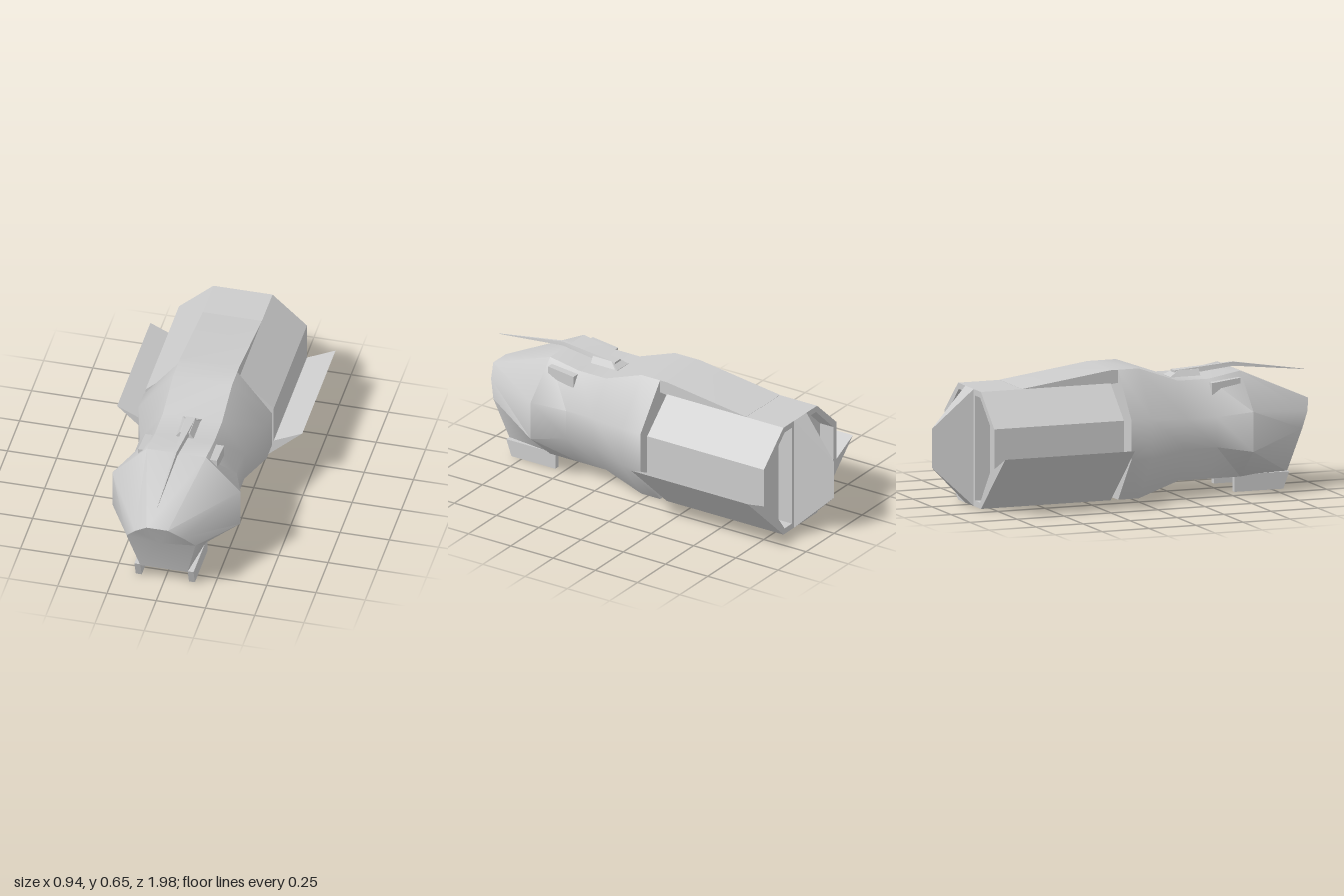
import * as THREE from 'three';
import { toCreasedNormals } from 'three/addons/utils/BufferGeometryUtils.js';

const material = new THREE.MeshStandardMaterial({ color: 0xcccccc, side: THREE.DoubleSide });

function addMesh(parent, name, geometry) {
  const mesh = new THREE.Mesh(geometry, material);
  mesh.name = name;
  parent.add(mesh);
  return mesh;
}

// Joins closed rings of points, ordered back to front, and caps both ends.
function loft(rings, crease = 0.3) {
  const n = rings[0].length;
  const position = [];
  const tri = (...points) => points.forEach((p) => position.push(...p));
  for (let i = 0; i < rings.length - 1; i++) {
    for (let j = 0; j < n; j++) {
      const k = (j + 1) % n;
      const [a, b, c, d] = [rings[i][j], rings[i][k], rings[i + 1][k], rings[i + 1][j]];
      tri(a, b, c);
      tri(a, c, d);
    }
  }
  const cap = (ring, front) => {
    const mid = [0, 1, 2].map((axis) => ring.reduce((sum, p) => sum + p[axis], 0) / n);
    ring.forEach((p, j) => {
      const q = ring[(j + 1) % n];
      if (front) tri(mid, p, q);
      else tri(mid, q, p);
    });
  };
  cap(rings[0], false);
  cap(rings[rings.length - 1], true);
  const geometry = new THREE.BufferGeometry();
  geometry.setAttribute('position', new THREE.Float32BufferAttribute(position, 3));
  return toCreasedNormals(geometry, crease);
}

// Mirrors a half outline (bottom to top on +x) into a full ring.
const mirrorRing = (half) => [...half, ...half.map(([x, y, z]) => [-x, y, z]).reverse()];

// Octagonal hull section.
const octagon = (z, top, bottom, width, high, low) => mirrorRing([
  [0.15, bottom, z], [width, low, z], [width, high, z], [0.15, top, z],
]);

// Rectangular section.
const boxRing = (z, width, bottom, top, topWidth = width) =>
  mirrorRing([[width, bottom, z], [topWidth, top, z]]);

const toShape = (points) => new THREE.Shape(points.map(([x, y]) => new THREE.Vector2(x, y)));

function extrude(shape, backZ, frontZ) {
  const geometry = new THREE.ExtrudeGeometry(shape, { depth: frontZ - backZ, bevelEnabled: false });
  return geometry.translate(0, 0, backZ);
}

export function createModel() {
  const ship = new THREE.Group();
  ship.name = 'ship';

  // Waisted front hull with a slanted nose
  const nose = mirrorRing([
    [0.12, 0.08, 0.84], [0.175, 0.3, 0.9], [0.12, 0.375, 0.95], [0.055, 0.43, 0.98],
  ]);
  addMesh(ship, 'frontHull', loft([
    octagon(-0.07, 0.65, 0, 0.325, 0.425, 0.225),
    octagon(0.04, 0.65, 0, 0.325, 0.425, 0.225),
    octagon(0.25, 0.575, 0.075, 0.265, 0.4, 0.25),
    octagon(0.41, 0.575, 0.075, 0.265, 0.4, 0.25),
    octagon(0.58, 0.605, 0.075, 0.325, 0.425, 0.225),
    nose,
  ], 0.78));

  // Bridge over the gap between the hulls, fading into the rear roof
  addMesh(ship, 'spine', loft([
    boxRing(-0.58, 0.15, 0.575, 0.586),
    boxRing(-0.11, 0.15, 0.58, 0.65),
    boxRing(-0.07, 0.15, 0.585, 0.65),
  ]));

  // Rear hull, with an open frame around two recessed bays at the back
  const outline = mirrorRing([[0.15, 0], [0.325, 0.225], [0.325, 0.425], [0.15, 0.585]]);
  addMesh(ship, 'rearHull', extrude(toShape(outline), -0.72, -0.11));
  const frame = toShape(outline);
  for (const side of [1, -1]) {
    const bay = [[0.075, 0.03], [0.14, 0.03], [0.295, 0.235], [0.295, 0.41], [0.14, 0.555], [0.075, 0.555]];
    frame.holes.push(toShape(bay.map(([x, y]) => [x * side, y])));
  }
  addMesh(ship, 'rearFrame', extrude(frame, -0.8, -0.72));

  // Upright tail wedge between the bays
  addMesh(ship, 'tailWedge', loft([
    mirrorRing([[0.001, 0.195, -1], [0.001, 0.39, -1]]),
    mirrorRing([[0.055, 0, -0.8], [0.055, 0.585, -0.8]]),
  ]));

  for (const side of [1, -1]) {
    const label = side > 0 ? 'left' : 'right';

    // Swept-up wing blade along the lower hull
    const blade = [[0.15, 0], [0.47, 0.295], [0.325, 0.225]];
    addMesh(ship, label + 'Wing', extrude(toShape(blade.map(([x, y]) => [x * side, y])), -0.8, -0.11));

    // Thin landing skid under the nose
    const skid = toShape([[-0.84, 0.085], [-0.81, 0], [-0.55, 0], [-0.55, 0.085]]);
    const skidGeometry = extrude(skid, -0.015, 0.015).rotateY(Math.PI / 2);
    addMesh(ship, label + 'Skid', skidGeometry).position.x = 0.135 * side;

    // Small roof vent behind the brow
    const vent = addMesh(ship, label + 'Vent', loft([
      boxRing(0.41, 0.025, 0.5, 0.56),
      boxRing(0.56, 0.025, 0.52, 0.578),
    ]));
    vent.position.x = 0.175 * side;
  }

  // Antenna mount on the roof
  addMesh(ship, 'antennaMount', loft([
    boxRing(0.25, 0.055, 0.56, 0.577, 0.05),
    boxRing(0.3, 0.055, 0.56, 0.605, 0.025),
    boxRing(0.41, 0.055, 0.56, 0.605, 0.025),
  ]));

  // Long needle antenna reaching over the nose
  addMesh(ship, 'antenna', loft([
    boxRing(0.28, 0.03, 0.59, 0.605, 0.025),
    boxRing(0.42, 0.022, 0.59, 0.614, 0.016),
    boxRing(0.6, 0.01, 0.606, 0.626, 0.006),
    boxRing(0.98, 0.001, 0.564, 0.566),
  ]));

  return ship;
}
